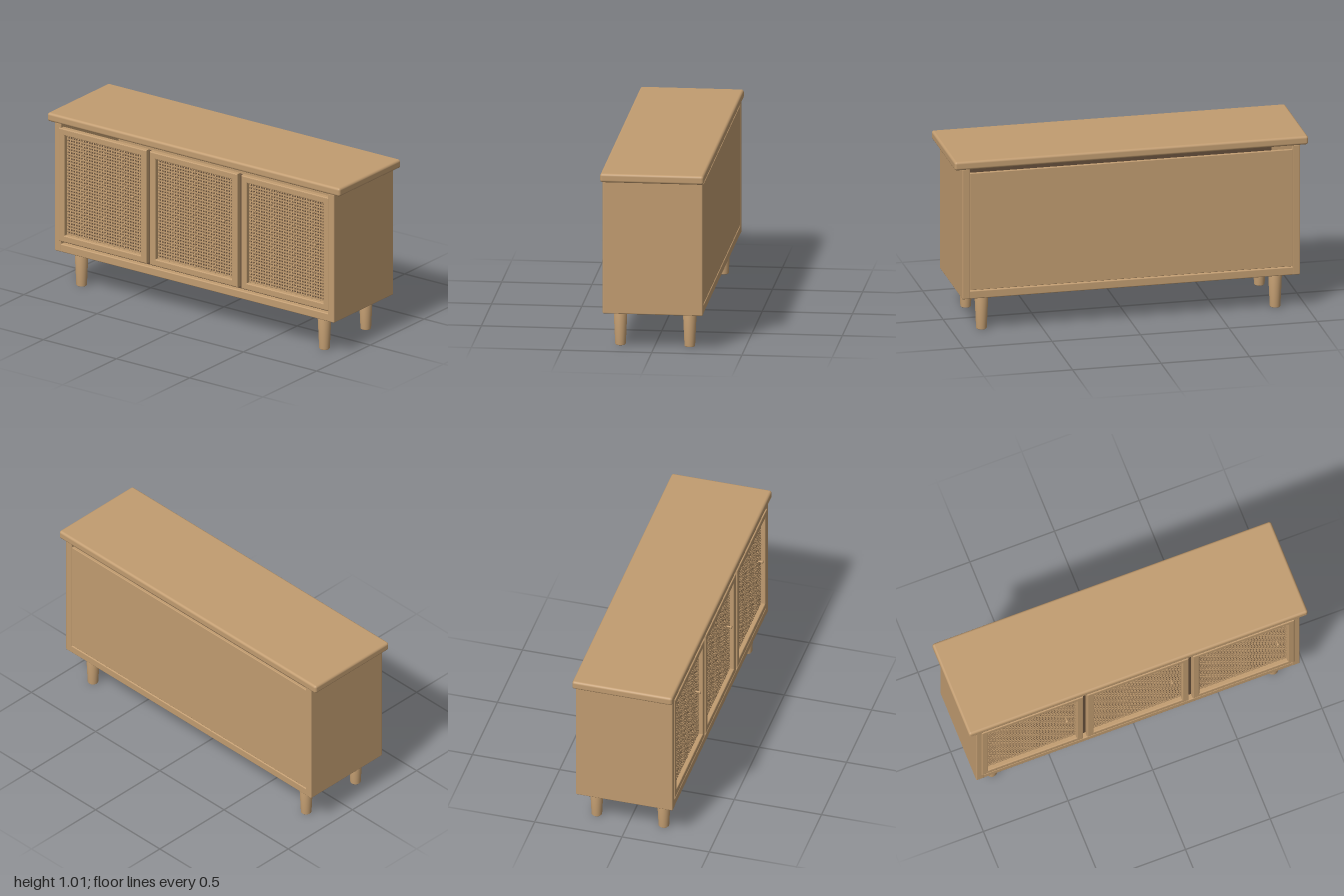
import * as THREE from 'three';
import { mergeGeometries } from 'three/addons/utils/BufferGeometryUtils.js';
import { RoundedBoxGeometry } from 'three/addons/geometries/RoundedBoxGeometry.js';

const wood = new THREE.MeshStandardMaterial({ color: 0xc19c70 });
wood.name = 'oak wood';
const dark = new THREE.MeshStandardMaterial({ color: 0x644e3a });
dark.name = 'dark interior';

function add(parent, name, geometry, x = 0, y = 0, z = 0, material = wood) {
  const mesh = new THREE.Mesh(geometry, material);
  mesh.name = name;
  mesh.position.set(x, y, z);
  parent.add(mesh);
  return mesh;
}

// Softly rounded board given by its limits
function board(parent, name, [x0, x1], [y0, y1], [z0, z1], r = 0.006, material = wood) {
  const g = new RoundedBoxGeometry(x1 - x0, y1 - y0, z1 - z0, 3, r);
  return add(parent, name, g, (x0 + x1) / 2, (y0 + y1) / 2, (z0 + z1) / 2, material);
}

function rectangle(target, w, h) {
  target.moveTo(-w / 2, -h / 2);
  target.lineTo(w / 2, -h / 2);
  target.lineTo(w / 2, h / 2);
  target.lineTo(-w / 2, h / 2);
  target.closePath();
  return target;
}

// Picture-frame door rail with a rectangular opening
function frameGeometry(w, h, rail, depth) {
  const b = 0.006;
  const shape = rectangle(new THREE.Shape(), w - 2 * b, h - 2 * b);
  shape.holes.push(rectangle(new THREE.Path(), w - 2 * rail + 2 * b, h - 2 * rail + 2 * b));
  return new THREE.ExtrudeGeometry(shape, {
    depth: depth - 2 * b, bevelEnabled: true, bevelSize: b, bevelThickness: b, bevelSegments: 3,
  }).translate(0, 0, b - depth / 2);
}

// Woven cane: flat strands that pass over and under each other
function caneGeometry(w, h) {
  const nx = 30, ny = 34, strands = [];
  const px = w / nx, py = h / ny;
  const weave = (length, pitch, count, phase) => {
    const g = new THREE.BoxGeometry(0.008, length, 0.002, 1, count * 2, 1);
    const p = g.attributes.position;
    for (let i = 0; i < p.count; i++) {
      const t = (p.getY(i) + length / 2) / pitch;
      p.setZ(i, p.getZ(i) + 0.002 * Math.sin(Math.PI * (t + phase)));
    }
    g.computeVertexNormals();
    return g;
  };
  for (let i = 0; i < nx; i++) {
    strands.push(weave(h, py, ny, i % 2).translate(-w / 2 + (i + 0.5) * px, 0, 0));
  }
  for (let j = 0; j < ny; j++) {
    strands.push(weave(w, px, nx, j % 2).rotateZ(-Math.PI / 2).translate(0, -h / 2 + (j + 0.5) * py, 0));
  }
  return mergeGeometries(strands);
}

export function createModel() {
  const model = new THREE.Group();
  model.name = 'sideboard';

  // Carcass
  board(model, 'top', [-1, 1], [0.957, 1.007], [-0.287, 0.287], 0.014);
  board(model, 'bottomPanel', [-0.953, 0.953], [0.203, 0.25], [-0.276, 0.276]);
  for (const s of [-1, 1]) {
    board(model, s < 0 ? 'rightSide' : 'leftSide',
      s < 0 ? [-0.955, -0.91] : [0.91, 0.955], [0.203, 0.96], [-0.277, 0.277]);
  }
  board(model, 'backPanel', [-0.912, 0.912], [0.253, 0.932], [-0.274, -0.256], 0.003);

  // Dark lining behind the doors, seen through the cane and the gaps
  board(model, 'doorLining', [-0.91, 0.91], [0.249, 0.92], [0.23, 0.245], 0.002, dark);

  // Doors
  const w = 0.6, h = 0.667, rail = 0.039;
  const frame = frameGeometry(w, h, rail, 0.035);
  const cane = caneGeometry(w - 2 * rail + 0.004, h - 2 * rail + 0.004);
  const knobProfile = [[0, 0], [0.005, 0], [0.005, 0.018], [0.009, 0.021], [0.009, 0.026], [0.006, 0.029], [0, 0.029]]
    .map(([r, y]) => new THREE.Vector2(r, y));
  const knob = new THREE.LatheGeometry(knobProfile, 16).rotateX(Math.PI / 2);
  for (const x of [-0.624, -0.002, 0.622]) {
    const door = new THREE.Group();
    door.name = 'door';
    door.position.set(x, 0.6, 0.264);
    add(door, 'doorFrame', frame);
    add(door, 'canePanel', cane, 0, 0, -0.008);
    add(door, 'knob', knob, 0.204, 0.036, -0.007);
    model.add(door);
  }

  // Tapered legs
  const legProfile = [[0, 0], [0.026, 0], [0.0295, 0.004], [0.039, 0.21], [0, 0.21]]
    .map(([r, y]) => new THREE.Vector2(r, y));
  const leg = new THREE.LatheGeometry(legProfile, 28);
  for (const x of [-0.832, 0.828]) {
    for (const z of [-0.192, 0.192]) add(model, z > 0 ? 'frontLeg' : 'backLeg', leg, x, 0, z);
  }
  return model;
}
